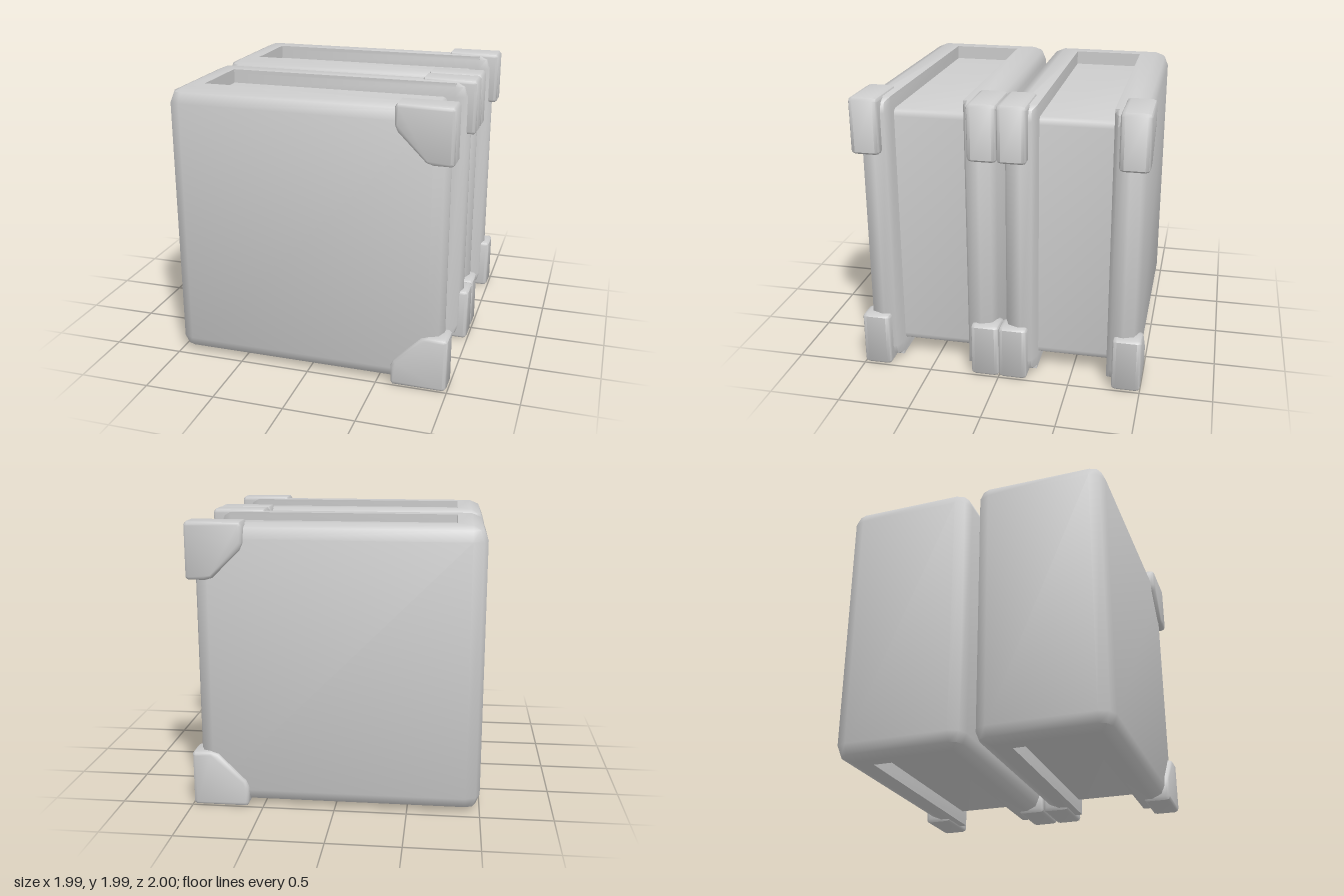
import * as THREE from 'three';
import { toCreasedNormals } from 'three/addons/utils/BufferGeometryUtils.js';

const material = new THREE.MeshStandardMaterial({ color: 0xcccccc });
const MID = 0.995; // height of the books' middle
const R = 0.1; // rounding of the cover

function part(name, geometry) {
  const flat = geometry.index ? geometry.toNonIndexed() : geometry;
  flat.deleteAttribute('uv');
  const mesh = new THREE.Mesh(toCreasedNormals(flat, 0.87), material);
  mesh.name = name;
  return mesh;
}

// U-shaped plan of the cover (x, z); k shrinks the rounded edges toward their centres
function coverPlan(k) {
  const arc = (x, z, start, kz = k) => [0, 45, 90].map((step) => {
    const a = THREE.MathUtils.degToRad(start + step);
    return new THREE.Vector2(x + R * k * Math.cos(a), z + R * kz * Math.sin(a));
  });
  return [
    ...arc(-0.9, -0.37, 180),
    ...arc(0.85, -0.37, 270),
    ...arc(0.85, -0.35, 0, 1),
    new THREE.Vector2(-0.8, -0.25),
    new THREE.Vector2(-0.8, 0.25),
    ...arc(0.85, 0.35, 270, 1),
    ...arc(0.85, 0.37, 0),
    ...arc(-0.9, 0.37, 90),
  ];
}

// Spine and two boards in one piece, stacked from plan sections
function coverGeometry() {
  const c = Math.SQRT1_2;
  const levels = [[-0.98, 0], [-0.88 - R * c, c], [-0.88, 1], [0.88, 1], [0.88 + R * c, c], [0.98, 0]];
  const positions = [];
  const index = [];
  const n = coverPlan(1).length;
  for (const [y, k] of levels) {
    for (const p of coverPlan(k)) positions.push(p.x, y, p.y);
  }
  for (let l = 0; l < levels.length - 1; l++) {
    for (let i = 0; i < n; i++) {
      const a = l * n + i;
      const b = l * n + ((i + 1) % n);
      index.push(a, a + n, b, b, a + n, b + n);
    }
  }
  const top = (levels.length - 1) * n;
  for (const [a, b, d] of THREE.ShapeUtils.triangulateShape(coverPlan(0), [])) {
    index.push(a, b, d, top + a, top + d, top + b);
  }
  const g = new THREE.BufferGeometry();
  g.setAttribute('position', new THREE.Float32BufferAttribute(positions, 3));
  g.setIndex(index);
  return g;
}

// Page block, softened along the fore edge
function pagesGeometry() {
  const shape = new THREE.Shape([
    [-0.85, -0.88], [0.77, -0.88], [0.792, -0.865], [0.8, -0.83],
    [0.8, 0.83], [0.792, 0.865], [0.77, 0.88], [-0.85, 0.88],
  ].map(([x, y]) => new THREE.Vector2(x, y)));
  return new THREE.ExtrudeGeometry(shape, { depth: 0.56, bevelEnabled: false }).translate(0, 0, -0.28);
}

// Bevelled corner guard; side is +1 for the top, -1 for the bottom
function cornerGeometry(side) {
  const shape = new THREE.Shape([
    [0.6, 0.97], [0.615, 0.995], [0.975, 0.995], [0.993, 0.975], [0.993, 0.62],
    [0.975, 0.605], [0.86, 0.605], [0.81, 0.62], [0.62, 0.81], [0.6, 0.855],
  ].map(([x, y]) => new THREE.Vector2(x, y * side)));
  return new THREE.ExtrudeGeometry(shape, {
    depth: 0.14, bevelThickness: 0.03, bevelSize: 0.022, bevelOffset: -0.022, bevelSegments: 2,
  }).translate(0, 0, -0.07);
}

function createBook() {
  const book = new THREE.Group();
  book.add(part('cover', coverGeometry()), part('pages', pagesGeometry()));
  for (const side of [1, -1]) {
    for (const z of [0.4, -0.4]) {
      const corner = part('cornerGuard', cornerGeometry(side));
      corner.position.z = z;
      book.add(corner);
    }
  }
  return book;
}

export function createModel() {
  const model = new THREE.Group();
  model.name = 'bookPair';
  for (const [name, z] of [['frontBook', 0.5], ['backBook', -0.5]]) {
    const book = createBook();
    book.name = name;
    book.position.set(0, MID, z);
    model.add(book);
  }
  return model;
}
